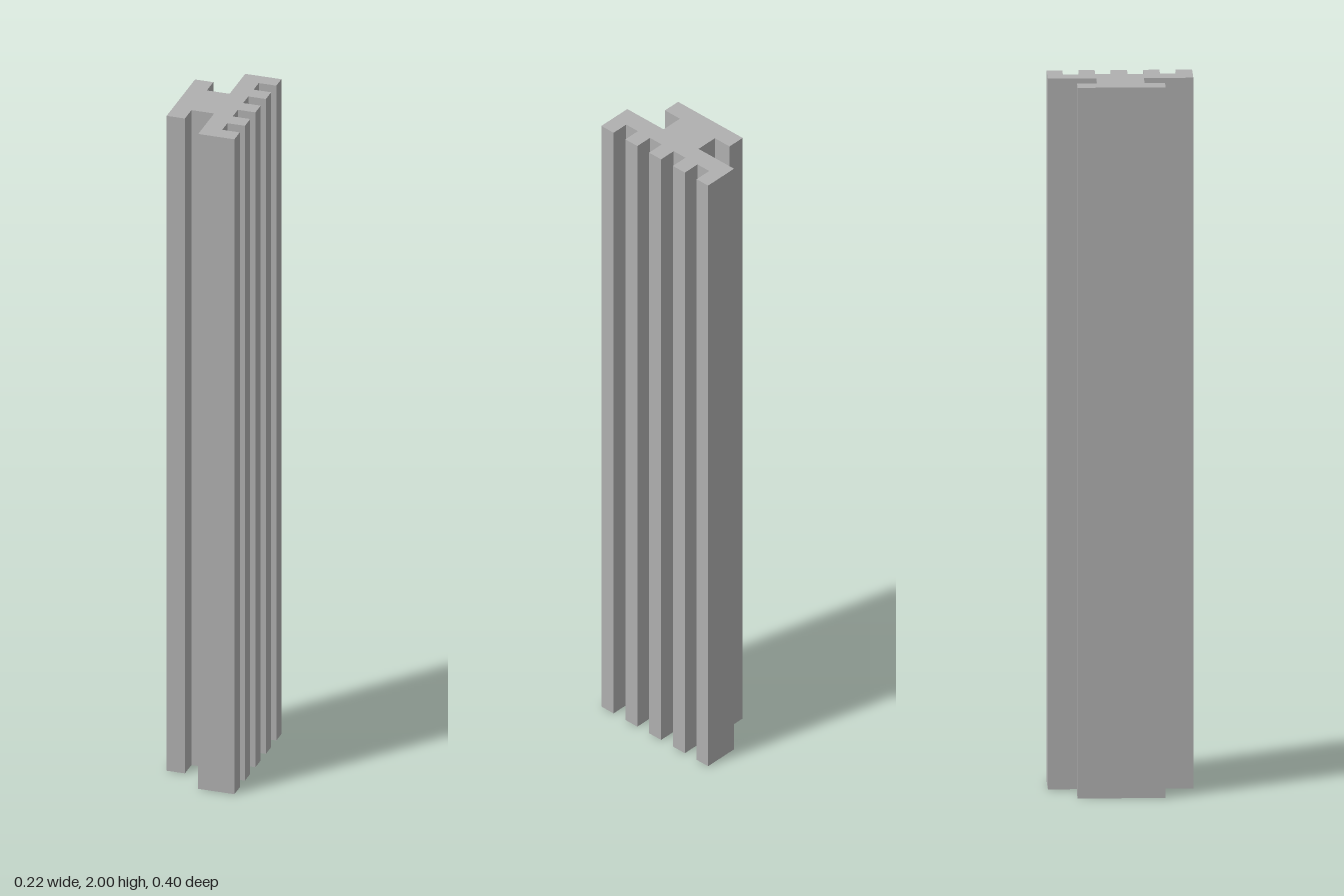
import * as THREE from 'three';

export function createModel() {
  const group = new THREE.Group();
  group.name = 'groovedRail';
  const grey = new THREE.MeshStandardMaterial({ color: 0xb0b0b0 });
  grey.name = 'plain grey';

  const height = 2;
  const outer = 0.112;        // outer x of both flanges
  const grooveFloor = 0.061;  // x of the groove bottoms
  // z ranges of the grooves cut into the wide flange
  const grooves = [[-0.157, -0.113], [-0.068, -0.024], [0.021, 0.065], [0.11, 0.154]];

  // Cross-section as [x, z]: grooved face, then web and narrow flange
  const section = [[outer, -0.2]];
  for (const [z0, z1] of grooves) {
    section.push([outer, z0], [grooveFloor, z0], [grooveFloor, z1], [outer, z1]);
  }
  section.push(
    [outer, 0.2], [0.007, 0.2], [0.007, 0.064],
    [-0.059, 0.064], [-0.059, 0.12], [-outer, 0.12],
    [-outer, -0.122], [-0.059, -0.122], [-0.059, -0.067],
    [0.007, -0.067], [0.007, -0.2],
  );

  // Extrude the section upwards
  const shape = new THREE.Shape(section.map(([x, z]) => new THREE.Vector2(x, -z)));
  const geometry = new THREE.ExtrudeGeometry(shape, { depth: height, bevelEnabled: false });
  geometry.rotateX(-Math.PI / 2);

  const rail = new THREE.Mesh(geometry, grey);
  rail.name = 'railProfile';
  group.add(rail);
  return group;
}
